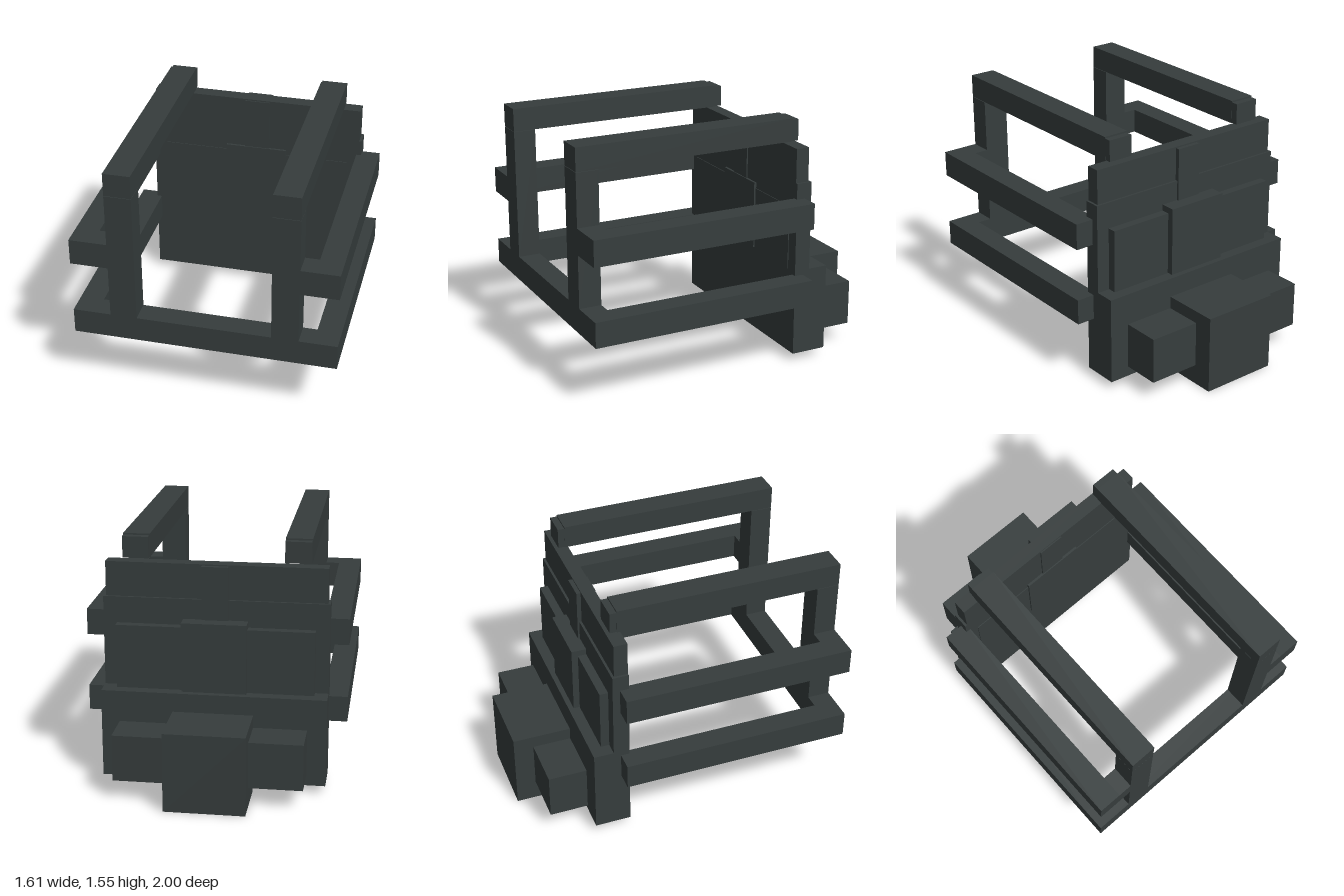
import * as THREE from 'three';

export function createModel() {
  const model = new THREE.Group();
  const slate = new THREE.MeshStandardMaterial({ color: 0x363d3d });
  slate.name = 'dark slate';

  // Axis-aligned block given by its limits
  function block(name, [x0, x1], [y0, y1], [z0, z1]) {
    const mesh = new THREE.Mesh(new THREE.BoxGeometry(x1 - x0, y1 - y0, z1 - z0), slate);
    mesh.position.set((x0 + x1) / 2, (y0 + y1) / 2, (z0 + z1) / 2);
    mesh.name = name;
    model.add(mesh);
  }

  // The same block on both sides
  function pair(name, [x0, x1], y, z) {
    block('left' + name, [x0, x1], y, z);
    block('right' + name, [-x1, -x0], y, z);
  }

  // Front frame
  block('frontCrossBar', [-0.805, 0.805], [0.415, 0.575], [0.86, 1]);
  pair('FrontPost', [0.41, 0.573], [0.575, 1.4], [0.86, 1]);
  pair('MiddleLink', [0.573, 0.66], [0.907, 1.07], [0.86, 1]);

  // Rails running back from the frame
  pair('TopRail', [0.41, 0.573], [1.403, 1.548], [-0.42, 1]);
  pair('TopRailEnd', [0.412, 0.571], [1.406, 1.538], [-0.463, -0.42]);
  pair('MiddleRail', [0.66, 0.805], [0.907, 1.07], [-0.447, 1]);
  pair('LowerRail', [0.66, 0.805], [0.415, 0.575], [-0.447, 0.86]);

  // Back plate, in three steps
  block('lowerBackBlock', [-0.69, 0.69], [0.052, 0.607], [-0.618, -0.392]);
  block('middleBackPlate', [-0.69, 0.69], [0.607, 1.17], [-0.493, -0.392]);
  block('upperBackPlate', [-0.675, 0.675], [1.17, 1.385], [-0.478, -0.392]);

  // Raised panels showing on both faces of the back plate
  block('widePanel', [-0.607, 0.607], [0.597, 1.006], [-0.547, -0.387]);
  block('centrePanel', [-0.198, 0.198], [0.61, 1.045], [-0.587, -0.377]);
  block('centreStrip', [-0.077, 0.085], [1.04, 1.377], [-0.505, -0.384]);

  // Rear boxes
  block('rearCentreBox', [-0.247, 0.247], [0, 0.495], [-1, -0.633]);
  pair('RearSideBox', [0.247, 0.575], [0.127, 0.417], [-0.875, -0.633]);

  return model;
}
